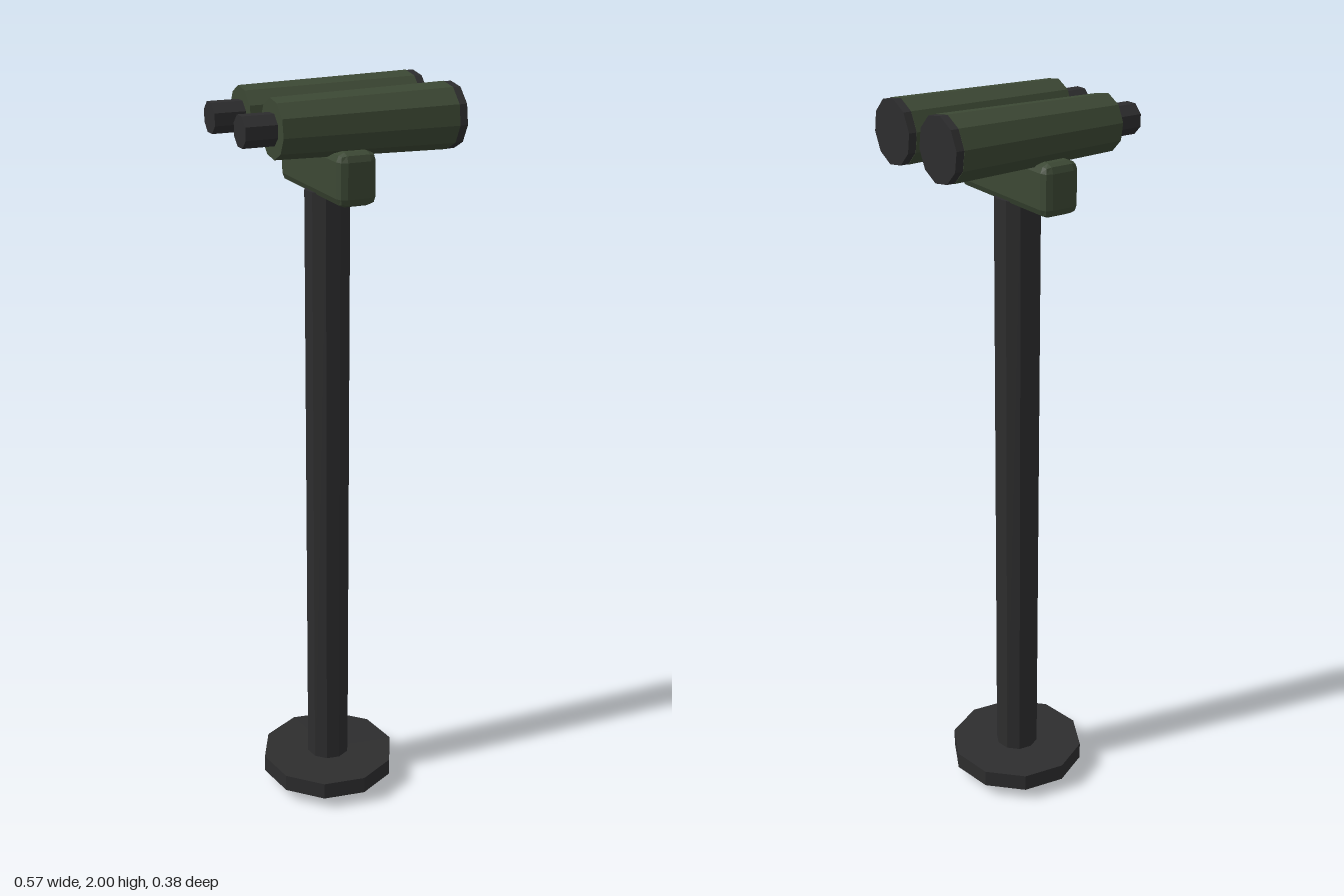
import * as THREE from 'three';
import { RoundedBoxGeometry } from 'three/addons/geometries/RoundedBoxGeometry.js';

const green = new THREE.MeshStandardMaterial({ color: 0x3c4834, flatShading: true });
green.name = 'olive green';
const dark = new THREE.MeshStandardMaterial({ color: 0x2d2d2e, flatShading: true });
dark.name = 'charcoal';

const TURN = Math.PI / 20; // facet offset shared by the ten-sided parts
const AXIS = -0.013;       // x of the pole

export function createModel() {
  const model = new THREE.Group();
  model.name = 'binocularsOnPole';

  const add = (parent, name, geometry, material, x, y, z) => {
    const mesh = new THREE.Mesh(geometry, material);
    mesh.name = name;
    mesh.position.set(x, y, z);
    parent.add(mesh);
    return mesh;
  };

  // upright cylinder between two heights
  const upright = (name, r, y0, y1) => add(model, name,
    new THREE.CylinderGeometry(r, r, y1 - y0, 10, 1, false, TURN), dark, AXIS, (y0 + y1) / 2, 0);

  // cylinder lying along x, radius r0 at x0 and r1 at x1
  const lying = (parent, name, material, r0, r1, x0, x1, sides, turn) => {
    const geometry = new THREE.CylinderGeometry(r1, r0, x1 - x0, sides, 1, false, turn);
    geometry.rotateZ(-Math.PI / 2);
    return add(parent, name, geometry, material, (x0 + x1) / 2, 0, 0);
  };

  // Stand
  upright('pole', 0.06, 0, 1.74);
  upright('baseDisc', 0.19, 0.035, 0.083);

  // Chamfered mount and the bridge between the barrels
  add(model, 'mount', new RoundedBoxGeometry(0.104, 0.133, 0.382, 1, 0.022), green, AXIS, 1.796, -0.001);
  add(model, 'bridge', new RoundedBoxGeometry(0.17, 0.062, 0.12, 1, 0.013), dark, 0.014, 1.92, -0.001);

  // Two tapered barrels, each with a lens rim and an eyepiece
  for (const [name, z] of [['rearBarrel', -0.105], ['frontBarrel', 0.102]]) {
    const barrel = new THREE.Group();
    barrel.name = name;
    barrel.position.set(0, 1.919, z);
    model.add(barrel);
    lying(barrel, 'tube', green, 0.073, 0.083, -0.202, 0.262, 10, TURN);
    lying(barrel, 'lens', dark, 0.082, 0.082, 0.262, 0.283, 10, TURN);
    lying(barrel, 'eyepiece', dark, 0.041, 0.041, -0.284, -0.2, 8, Math.PI / 8);
  }

  return model;
}
